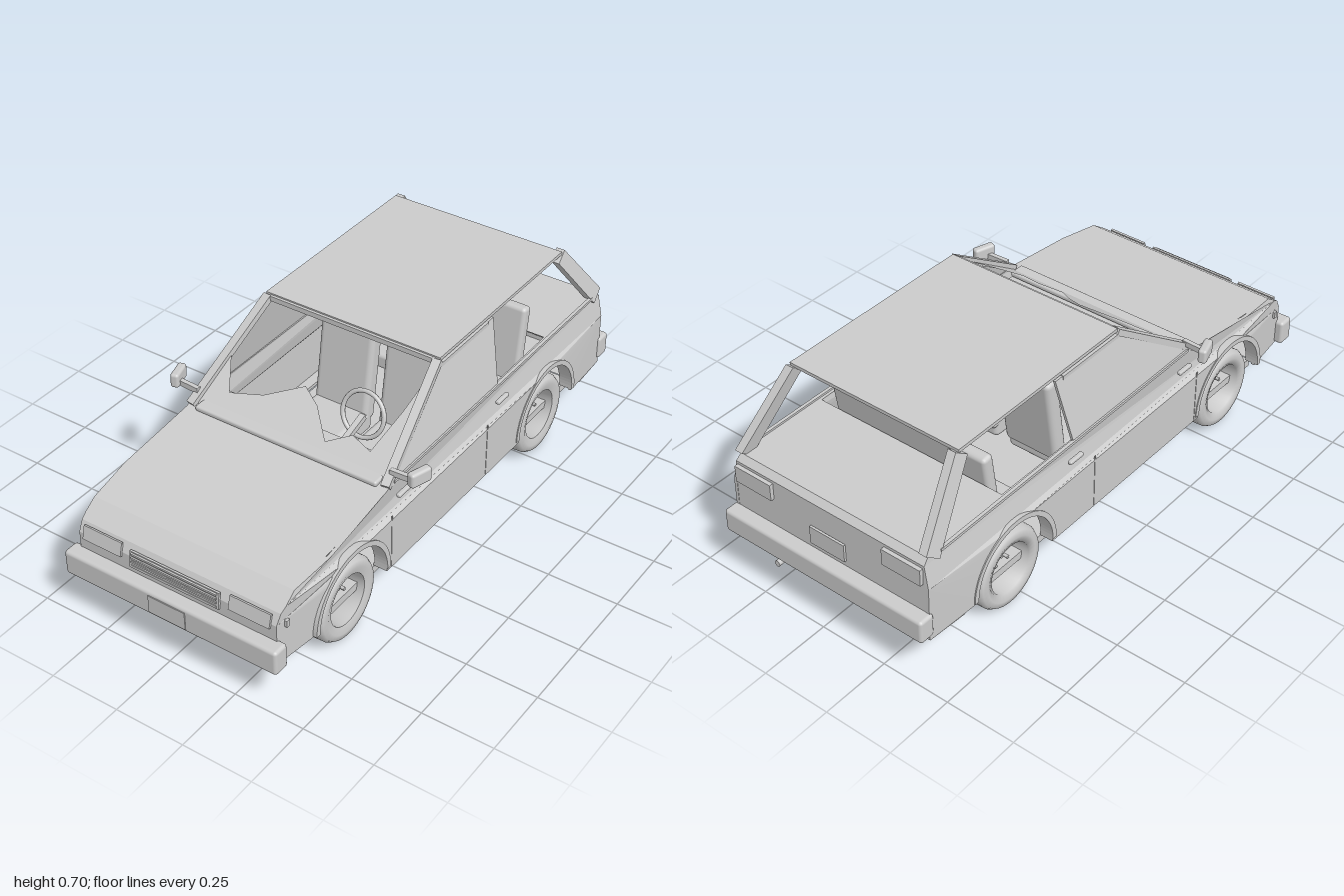
import * as THREE from 'three';
import { RoundedBoxGeometry } from 'three/addons/geometries/RoundedBoxGeometry.js';

const paint = new THREE.MeshStandardMaterial({ color: 0xcccccc, side: THREE.DoubleSide });
paint.name = 'plain grey';

// Half width of the lower body and of the cabin
const bodyX = (z, y) =>
  0.405 - Math.max(0, y - 0.35) * 0.2 - Math.max(0, z - 0.7) * 0.12 - Math.max(0, -z - 0.8) * 0.06;
const cabinX = (z, y) => 0.385 - (y - 0.45) * 0.21;

export function createModel() {
  const car = new THREE.Group();
  car.name = 'car';

  function add(name, geo, x = 0, y = 0, z = 0) {
    const m = new THREE.Mesh(geo, paint);
    m.name = name;
    m.position.set(x, y, z);
    car.add(m);
    return m;
  }
  const box = (name, w, h, d, x, y, z) => add(name, new THREE.BoxGeometry(w, h, d), x, y, z);
  const soft = (name, w, h, d, x, y, z, r = 0.012) =>
    add(name, new RoundedBoxGeometry(w, h, d, 2, r), x, y, z);

  // Square bar between two points
  function beam(name, a, b, w, h) {
    const p = new THREE.Vector3(...a), q = new THREE.Vector3(...b);
    const m = box(name, w, h, p.distanceTo(q), 0, 0, 0);
    m.position.copy(p).lerp(q, 0.5);
    m.lookAt(q);
    return m;
  }

  // Outline in (z, y) given thickness and bent to a half-width rule
  function slab(name, shape, s, fx, t) {
    const geo = new THREE.ExtrudeGeometry(shape, { depth: t, bevelEnabled: false, curveSegments: 20 });
    const p = geo.attributes.position;
    for (let i = 0; i < p.count; i++) {
      const z = p.getX(i), y = p.getY(i), w = p.getZ(i);
      p.setXYZ(i, s * (fx(z, y) - w), y, z);
    }
    geo.computeVertexNormals();
    return add(name, geo);
  }
  const poly = pts => new THREE.Shape(pts.map(p => new THREE.Vector2(...p)));

  // Faceted sheet across the body along a (z, y) profile
  function ribbon(name, prof, inset = 0) {
    const v = [];
    for (let i = 0; i < prof.length - 1; i++) {
      const [[za, ya], [zb, yb]] = [prof[i], prof[i + 1]];
      const a = bodyX(za, ya) - inset, b = bodyX(zb, yb) - inset;
      v.push(-a, ya, za, a, ya, za, b, yb, zb, -a, ya, za, b, yb, zb, -b, yb, zb);
    }
    const geo = new THREE.BufferGeometry();
    geo.setAttribute('position', new THREE.Float32BufferAttribute(v, 3));
    geo.computeVertexNormals();
    return add(name, geo);
  }

  // Nose, bonnet, tail, parcel shelf and floor
  ribbon('noseAndBonnet', [[0.8, 0.15], [0.95, 0.15], [0.95, 0.3], [0.93, 0.335], [0.865, 0.38], [0.4, 0.44], [0.37, 0.45]]);
  ribbon('tailAndShelf', [[-0.58, 0.45], [-0.925, 0.45], [-0.945, 0.43], [-0.95, 0.15], [-0.8, 0.15]]);
  box('floor', 0.71, 0.028, 1.62, 0, 0.126, 0);
  soft('cowl', 0.7, 0.02, 0.06, 0, 0.449, 0.375, 0.008);
  box('dashboard', 0.7, 0.03, 0.13, 0, 0.42, 0.315);

  // Front face details
  box('grilleSurround', 0.34, 0.06, 0.008, 0, 0.296, 0.953).rotation.x = -0.1;
  for (let i = 0; i < 4; i++) box('grilleSlat', 0.325, 0.007, 0.012, 0, 0.274 + i * 0.015, 0.955);
  soft('frontBumper', 0.81, 0.09, 0.06, 0, 0.197, 0.967);
  box('frontPlate', 0.14, 0.065, 0.006, 0, 0.197, 0.997);

  // Rear face details
  soft('rearBumper', 0.81, 0.085, 0.06, 0, 0.213, -0.967);
  box('rearPlate', 0.14, 0.065, 0.008, 0, 0.31, -0.953);
  const pipe = add('exhaustPipe', new THREE.CylinderGeometry(0.011, 0.011, 0.12, 12), 0.215, 0.117, -0.91);
  pipe.rotation.x = Math.PI / 2;

  // Roof and cross rails
  box('roof', 0.67, 0.012, 0.76, 0, 0.694, -0.35);
  box('roofFrontRail', 0.64, 0.018, 0.02, 0, 0.686, 0.03);

  // Windscreen with a jagged upper edge
  const edge = [[0.37, 0.45], [0.325, 0.655], [0.305, 0.58], [0.27, 0.49], [0.19, 0.505], [0.115, 0.475],
    [0.03, 0.53], [-0.04, 0.555], [-0.16, 0.51], [-0.275, 0.49], [-0.345, 0.565], [-0.37, 0.45]];
  const glass = new THREE.ShapeGeometry(poly(edge));
  const gp = glass.attributes.position;
  for (let i = 0; i < gp.count; i++) gp.setZ(i, 0.375 - (gp.getY(i) - 0.45) * 1.44);
  glass.computeVertexNormals();
  add('windscreen', glass);

  // Tyre section turned around the axle
  const tyre = new THREE.LatheGeometry(
    [[0.09, -0.042], [0.115, -0.05], [0.135, -0.046], [0.145, -0.03], [0.146, 0], [0.145, 0.03],
      [0.135, 0.046], [0.115, 0.05], [0.09, 0.042], [0.09, -0.042]].map(p => new THREE.Vector2(...p)), 40);
  tyre.rotateZ(Math.PI / 2);
  const bolt = new THREE.CylinderGeometry(0.006, 0.006, 0.02, 8).rotateZ(Math.PI / 2);
  const axles = [0.6, -0.56];

  for (const s of [1, -1]) {
    // Lower side panel with wheel openings, and shoulder above it
    const lower = new THREE.Shape();
    lower.moveTo(0.95, 0.15);
    for (const z of axles) {
      lower.lineTo(z + 0.18, 0.15);
      lower.absarc(z, 0.155, 0.18, 0, Math.PI, false);
      lower.lineTo(z - 0.18, 0.15);
    }
    for (const p of [[-0.95, 0.15], [-0.948, 0.35], [0.908, 0.35], [0.93, 0.335], [0.95, 0.3]]) lower.lineTo(...p);
    slab('lowerSide', lower, s, bodyX, 0.012);
    slab('shoulder', poly([[0.908, 0.35], [0.865, 0.38], [0.7, 0.4], [0.4, 0.44], [0.36, 0.45], [-0.925, 0.45],
      [-0.945, 0.43], [-0.948, 0.35]]), s, bodyX, 0.012);
    box('sill', 0.05, 0.012, 0.8, s * 0.38, 0.15, 0.02);

    // Wheels, arch lips and brake blocks
    for (const z of axles) {
      const lip = new THREE.Shape();
      lip.absarc(z, 0.155, 0.198, 0, Math.PI, false);
      lip.absarc(z, 0.155, 0.18, Math.PI, 0, true);
      slab('archLip', lip, s, () => 0.408, 0.05);
      add('tyre', tyre, s * 0.34, 0.146, z);
      for (let i = 0; i < 5; i++) {
        const a = i * Math.PI * 0.4;
        add('wheelBolt', bolt, s * 0.34, 0.146 + 0.03 * Math.cos(a), z + 0.03 * Math.sin(a));
      }
    }
    box('frontBrakeBlock', 0.05, 0.04, 0.08, s * 0.3, 0.283, 0.57);
    box('frontStrutBlock', 0.05, 0.035, 0.07, s * 0.27, 0.27, 0.475);
    box('rearBrakeBlock', 0.05, 0.04, 0.08, s * 0.3, 0.215, -0.553);

    // Door window, pillars and roof rail
    slab('doorWindow', poly([[0.36, 0.45], [0.02, 0.68], [-0.285, 0.68], [-0.252, 0.45]]), s, cabinX, 0.01);
    beam('windscreenPillar', [s * 0.376, 0.445, 0.39], [s * 0.326, 0.688, 0.03], 0.03, 0.022);
    beam('doorRail', [s * 0.333, 0.675, 0.03], [s * 0.333, 0.675, -0.25], 0.016, 0.014);
    slab('rearPillar', poly([[-0.7, 0.67], [-0.745, 0.7], [-0.94, 0.465], [-0.89, 0.43]]), s,
      (z, y) => cabinX(z, y) + 0.004, 0.03);
    beam('beltTrim', [s * 0.384, 0.452, 0.36], [s * 0.384, 0.452, -0.88], 0.012, 0.01);

    // Door seams, handles and side lamps
    for (const z of [0.395, -0.165]) {
      box('doorSeam', 0.003, 0.2, 0.004, s * 0.405, 0.25, z);
    }
    for (const z of [0.325, -0.26]) soft('doorHandle', 0.016, 0.014, 0.066, s * 0.4, 0.4, z, 0.005);
    box('sideLamp', 0.012, 0.024, 0.014, s * 0.383, 0.29, 0.91);

    // Mirrors
    const mirror = soft('mirror', 0.03, 0.052, 0.08, s * 0.465, 0.495, 0.34, 0.01);
    mirror.rotation.y = -s * 0.3;
    beam('mirrorArm', [s * 0.37, 0.482, 0.355], [s * 0.46, 0.482, 0.35], 0.016, 0.02);

    // Lamps
    box('headlight', 0.15, 0.048, 0.008, s * 0.28, 0.309, 0.95).rotation.x = -0.25;
    box('tailLight', 0.15, 0.06, 0.014, s * 0.3, 0.39, -0.952);

    // Front seats
    soft('seatBack', 0.215, 0.34, 0.06, s * 0.13, 0.39, -0.14, 0.02).rotation.x = -0.15;
    soft('seatCushion', 0.215, 0.08, 0.22, s * 0.13, 0.22, -0.02, 0.02);
  }

  // Rear bench
  soft('benchBack', 0.62, 0.32, 0.045, 0, 0.395, -0.545, 0.015).rotation.x = -0.15;
  soft('benchCushion', 0.6, 0.06, 0.14, 0, 0.255, -0.45, 0.015);

  // Steering wheel and column
  const wheel = add('steeringWheel', new THREE.TorusGeometry(0.078, 0.008, 8, 32), 0.13, 0.472, 0.15);
  wheel.rotation.x = -0.3;
  beam('steeringColumn', [0.13, 0.465, 0.15], [0.13, 0.42, 0.29], 0.02, 0.02);

  return car;
}
